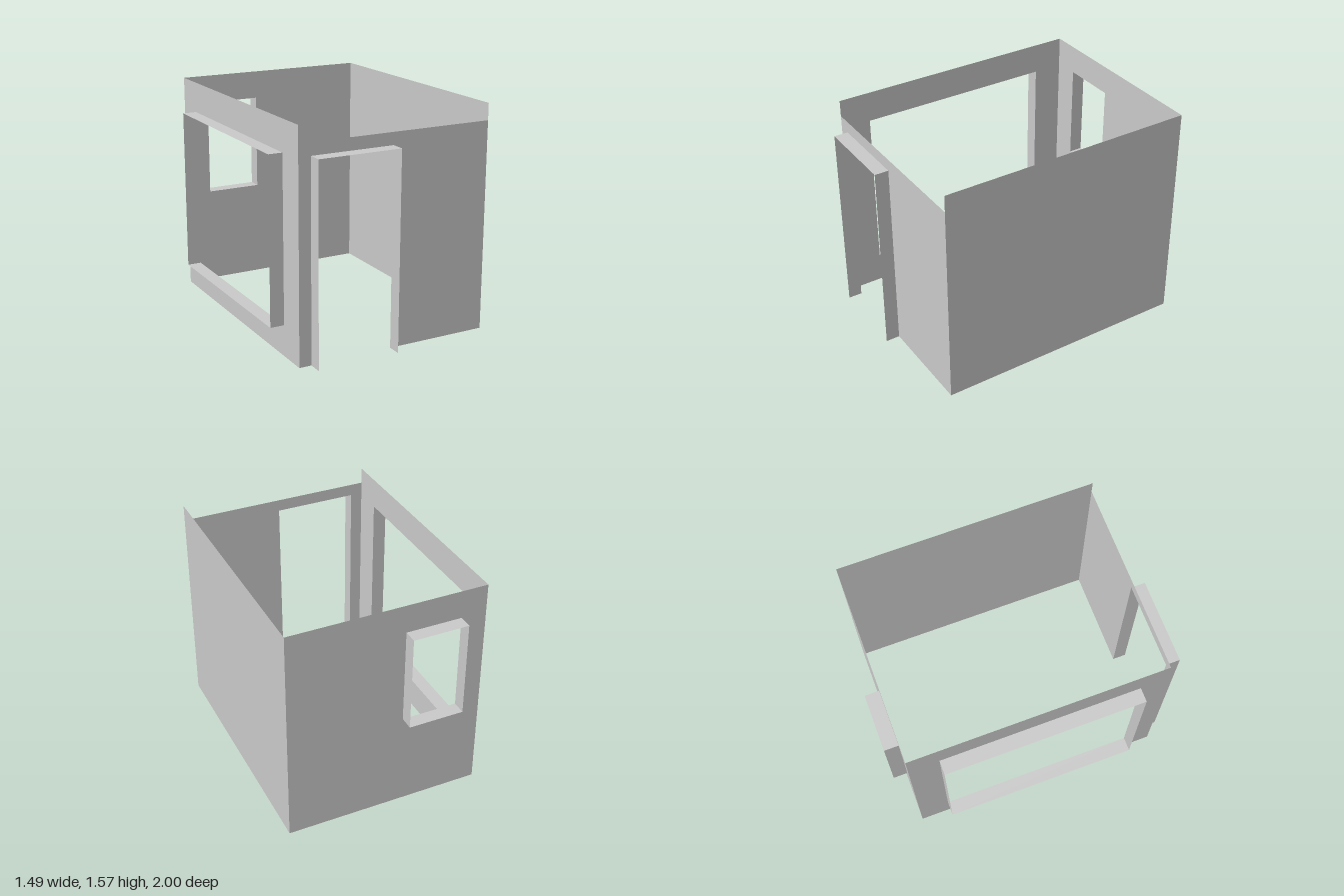
import * as THREE from 'three';

const DEPTH = 0.098; // how far the frames stand out from the walls
const X0 = -0.648, X1 = 0.745, Z = 0.902, HEIGHT = 1.57, FRONT_HEIGHT = 1.455;
const material = new THREE.MeshStandardMaterial({ color: 0xcccccc, side: THREE.DoubleSide, flatShading: true });

function part(name, geometry) {
  const mesh = new THREE.Mesh(geometry, material);
  mesh.name = name;
  return mesh;
}

// Thin strips joining consecutive points, running outward from the wall
function frameGeometry(points) {
  const pos = [];
  for (let i = 0; i + 1 < points.length; i++) {
    const [ax, ay] = points[i], [bx, by] = points[i + 1];
    pos.push(ax, ay, 0, bx, by, 0, bx, by, DEPTH);
    pos.push(ax, ay, 0, bx, by, DEPTH, ax, ay, DEPTH);
  }
  const g = new THREE.BufferGeometry();
  g.setAttribute('position', new THREE.Float32BufferAttribute(pos, 3));
  g.computeVertexNormals();
  return g;
}

// Wall in its own xy plane, outside facing local +z; opening = [left, right, bottom, top]
function makeWall(name, x0, x1, height, opening, openingName) {
  const group = new THREE.Group();
  group.name = name;
  const toVectors = (pts) => pts.map(([x, y]) => new THREE.Vector2(x, y));
  const outline = [[x0, 0], [x1, 0], [x1, height], [x0, height]];
  let hole = null;
  if (opening) {
    const [l, r, b, t] = opening;
    const path = [[l, b], [l, t], [r, t], [r, b]];
    if (b > 0) {
      hole = new THREE.Path(toVectors(path));
      path.push([l, b]); // windows have a sill, the doorway stays open below
    } else {
      outline.splice(1, 0, ...path);
    }
    group.add(part(openingName, frameGeometry(path)));
  }
  const shape = new THREE.Shape(toVectors(outline));
  if (hole) shape.holes.push(hole);
  group.add(part(name + 'Panel', new THREE.ShapeGeometry(shape)));
  return group;
}

export function createModel() {
  const model = new THREE.Group();
  model.name = 'room';

  // Front wall, slightly lower, with a doorway
  const front = makeWall('frontWall', X0, X1, FRONT_HEIGHT, [-0.562, 0.024, 0, 1.37], 'doorFrame');
  front.position.z = Z;

  // Back wall with a small window (local x is mirrored)
  const back = makeWall('backWall', -X1, -X0, HEIGHT, [0.075, 0.467, 0.688, 1.37], 'smallWindowFrame');
  back.rotation.y = Math.PI;
  back.position.z = -Z;

  // Right wall with a large window
  const right = makeWall('rightWall', -Z, Z, HEIGHT, [-0.692, 0.69, 0.215, 1.355], 'largeWindowFrame');
  right.rotation.y = -Math.PI / 2;
  right.position.x = X0;

  // Plain left wall
  const left = makeWall('leftWall', -Z, Z, HEIGHT);
  left.rotation.y = Math.PI / 2;
  left.position.x = X1;

  model.add(front, back, right, left);
  return model;
}
